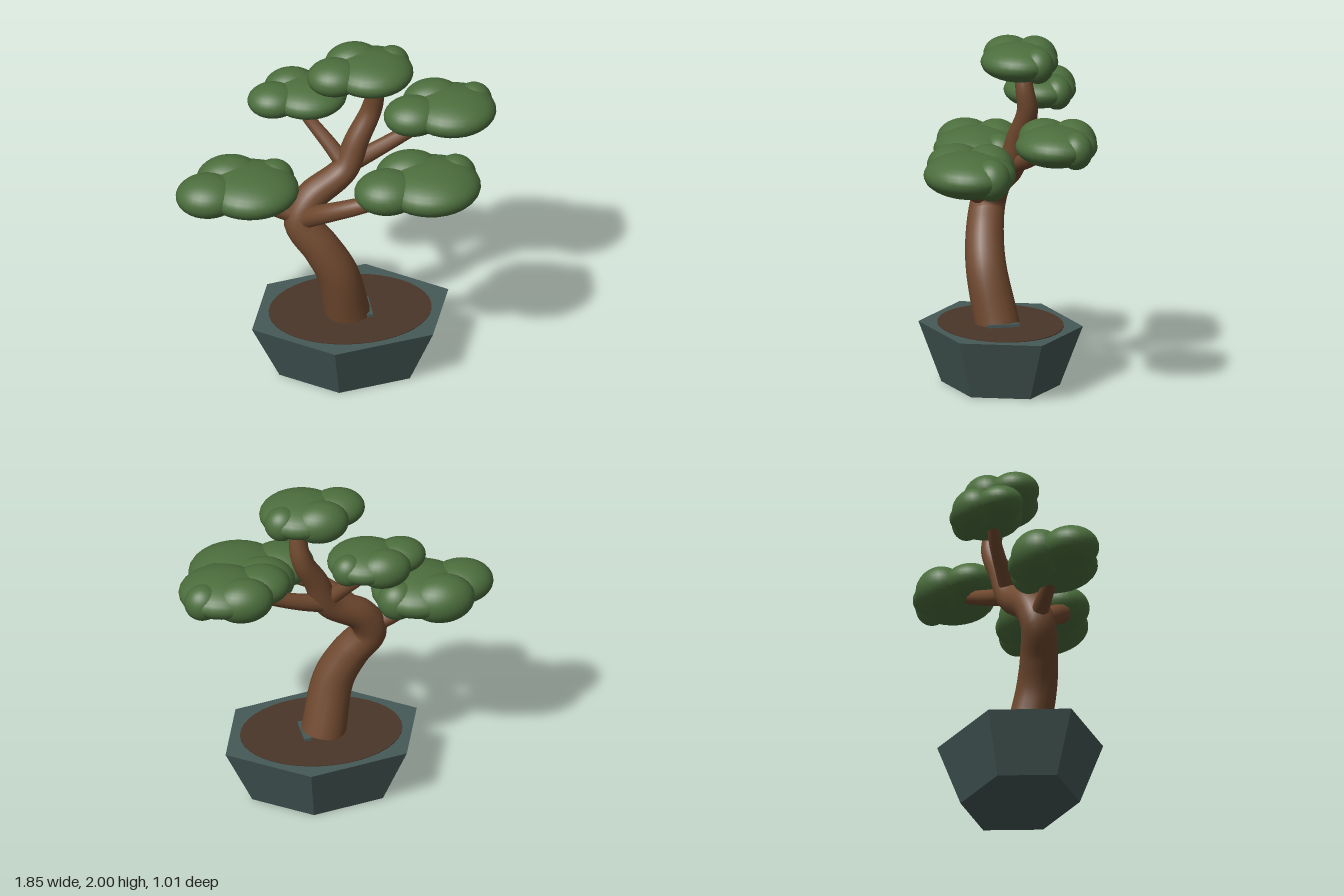
import * as THREE from 'three';
import { toCreasedNormals } from 'three/addons/utils/BufferGeometryUtils.js';

const material = (name, color) => {
  const m = new THREE.MeshStandardMaterial({ color });
  m.name = name;
  return m;
};

// Tapered limb along a smooth curve; the first and last rings close to flat caps
function limbGeometry(points, r0, r1, segments, sides, power = 1) {
  const curve = new THREE.CatmullRomCurve3(points.map(p => new THREE.Vector3(...p)));
  const geo = new THREE.TubeGeometry(curve, segments, 1, sides);
  const pos = geo.attributes.position;
  const v = new THREE.Vector3();
  for (let i = 0; i <= segments; i++) {
    const from = curve.getPointAt(i / segments);
    const u = THREE.MathUtils.clamp((i - 1) / (segments - 2), 0, 1);
    const to = curve.getPointAt(u);
    const cap = i === 0 || i === segments;
    const r = cap ? 0.0001 : r0 + (r1 - r0) * Math.pow(u, power);
    for (let j = 0; j <= sides; j++) {
      const k = i * (sides + 1) + j;
      v.fromBufferAttribute(pos, k).sub(from).multiplyScalar(r).add(to);
      pos.setXYZ(k, v.x, v.y, v.z);
    }
  }
  return toCreasedNormals(geo, Math.PI / 3.5);
}

export function createModel() {
  const model = new THREE.Group();
  model.name = 'bonsaiTree';
  const leaf = material('leafGreen', 0x4c6e3d);
  const bark = material('barkBrown', 0x70492f);
  const earth = material('soilBrown', 0x4a3629);
  const glaze = material('potTeal', 0x465a58);
  glaze.flatShading = true;

  const add = (parent, name, geo, mat) => {
    const mesh = new THREE.Mesh(geo, mat);
    mesh.name = name;
    parent.add(mesh);
    return mesh;
  };

  // Six-sided tapered pot, stretched along x
  const potX = 0.065, potZ = -0.025, potH = 0.343;
  const potGeo = new THREE.CylinderGeometry(1, 0.72, potH, 6, 1, false, Math.PI / 4);
  const pot = add(model, 'pot', potGeo, glaze);
  pot.scale.set(0.596, 1, 0.455);
  pot.position.set(potX, potH / 2, potZ);

  // Oval soil disc
  const soil = add(model, 'soil', new THREE.CylinderGeometry(1, 1, 0.008, 40), earth);
  soil.scale.set(0.46, 1, 0.35);
  soil.position.set(potX, potH, potZ);

  // Small bar beside the trunk base
  const bar = add(model, 'baseBar', new THREE.BoxGeometry(0.04, 0.022, 0.18), glaze);
  bar.position.set(0.16, 0.353, -0.02);

  // Winding trunk
  add(model, 'trunk', limbGeometry([
    [0.05, 0.33, -0.01], [-0.02, 0.65, 0.04], [-0.11, 0.82, 0.03],
    [-0.215, 0.98, -0.01], [-0.16, 1.11, -0.04], [0.04, 1.25, -0.09],
    [0.12, 1.43, -0.12], [0.205, 1.6, -0.15], [0.22, 1.73, -0.13], [0.19, 1.85, -0.12],
  ], 0.128, 0.045, 64, 16, 1.2), bark);

  // Branches: name, path, start and end radius
  const branches = [
    ['leftBranch', [[-0.2, 1.01, -0.01], [-0.33, 1.06, -0.02], [-0.55, 1.17, -0.02]], 0.055, 0.035],
    ['frontBranch', [[-0.2, 1.02, 0.02], [-0.09, 1.12, 0.14], [0.06, 1.2, 0.22], [0.3, 1.28, 0.26]], 0.062, 0.042],
    ['upperLeftBranch', [[0.05, 1.27, -0.09], [-0.03, 1.38, -0.16], [-0.12, 1.49, -0.23], [-0.2, 1.6, -0.28]], 0.05, 0.03],
    ['rightBranch', [[0.02, 1.25, -0.1], [0.22, 1.32, -0.15], [0.55, 1.46, -0.21]], 0.055, 0.035],
  ];
  for (const [name, path, r0, r1] of branches) {
    add(model, name, limbGeometry(path, r0, r1, 24, 12), bark);
  }

  // Foliage lobes in units of pad width: offset x, z, then radii x, y, z
  const lobes = [
    ['mainLobe', 0.115, 0.012, 0.385, 0.175, 0.36],
    ['sideLobe', -0.238, 0.045, 0.262, 0.165, 0.23],
    ['backLobe', -0.033, -0.168, 0.27, 0.197, 0.205],
    ['smallLobe', 0.32, -0.12, 0.164, 0.165, 0.148],
  ];
  const ball = new THREE.SphereGeometry(1, 28, 18);

  // Foliage pads: name, centre, width
  const pads = [
    ['leftFoliage', -0.58, 1.22, -0.022, 0.7],
    ['frontFoliage', 0.405, 1.312, 0.23, 0.72],
    ['upperLeftFoliage', -0.197, 1.638, -0.297, 0.565],
    ['rightFoliage', 0.603, 1.5, -0.227, 0.64],
    ['topFoliage', 0.132, 1.883, -0.112, 0.605],
  ];
  for (const [name, x, y, z, w] of pads) {
    const pad = new THREE.Group();
    pad.name = name;
    pad.position.set(x, y, z);
    pad.scale.setScalar(w);
    for (const [lobeName, lx, lz, rx, ry, rz] of lobes) {
      const lobe = add(pad, lobeName, ball, leaf);
      lobe.position.set(lx, 0, lz);
      lobe.scale.set(rx, ry, rz);
    }
    model.add(pad);
  }
  return model;
}
